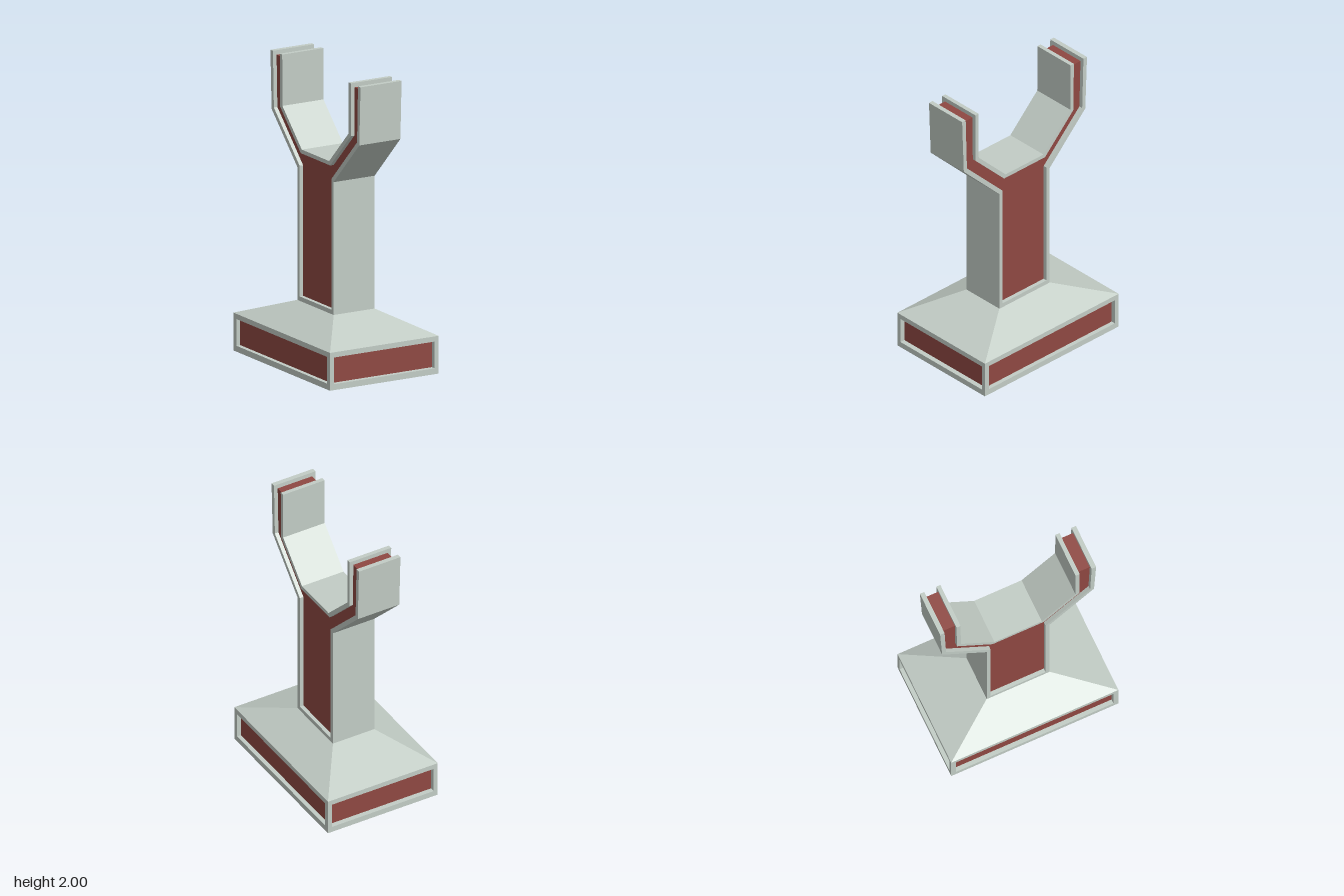
import * as THREE from 'three';

const grey = new THREE.MeshStandardMaterial({ color: 0xc2ccc5, flatShading: true });
const red = new THREE.MeshStandardMaterial({ color: 0x8f4842, flatShading: true });

// Half profiles of the forked post as [z, y], from the bottom or middle up to the tip
const outerEdge = [[0.225, 0.39], [0.225, 1.285], [0.545, 1.605], [0.56, 2]];
const outerLip = [[0.197, 0.42], [0.197, 1.3], [0.517, 1.62], [0.528, 2]];
const innerEdge = [[0.17, 1.415], [0.411, 1.655], [0.413, 2]];
const innerLip = [[0.183, 1.388], [0.439, 1.643], [0.442, 2]];
const coreTop = 1.97;

// Mirrors a half profile into a full line running from the -z tip to the +z tip
const mirrored = (half) => [...half.map(([z, y]) => [-z, y]).reverse(), ...half];
const cut = (half) => half.map(([z, y]) => [z, Math.min(y, coreTop)]);

export function createModel() {
  const model = new THREE.Group();

  function add(parent, name, geometry, material, x = 0, y = 0, z = 0) {
    const mesh = new THREE.Mesh(geometry, material);
    mesh.name = name;
    mesh.position.set(x, y, z);
    parent.add(mesh);
  }

  // Extrudes the area between two profile lines across the width of the post
  function addBand(parent, name, lower, upper, width, material) {
    const points = [...mirrored(lower), ...mirrored(upper).reverse()];
    const shape = new THREE.Shape(points.map(([z, y]) => new THREE.Vector2(z, y)));
    const geometry = new THREE.ExtrudeGeometry(shape, { depth: width, bevelEnabled: false });
    geometry.translate(0, 0, -width / 2).rotateY(-Math.PI / 2);
    add(parent, name, geometry, material);
  }

  // Base: a frame of two plates and four corner posts around a recessed core
  const base = new THREE.Group();
  base.name = 'base';
  model.add(base);
  add(base, 'bottomPlate', new THREE.BoxGeometry(0.83, 0.04, 1.2), grey, 0, 0.02, 0);
  add(base, 'topPlate', new THREE.BoxGeometry(0.83, 0.035, 1.2), grey, 0, 0.2375, 0);
  add(base, 'basePanels', new THREE.BoxGeometry(0.77, 0.18, 1.13), red, 0, 0.13, 0);
  for (const x of [-1, 1]) {
    for (const z of [-1, 1]) {
      add(base, 'cornerPost', new THREE.BoxGeometry(0.03, 0.18, 0.035), grey, x * 0.4, 0.13, z * 0.5825);
    }
  }

  // Sloped cap from the base up to the post
  const cap = new THREE.CylinderGeometry(0.377 * Math.SQRT2, Math.SQRT2, 0.135, 4);
  cap.rotateY(Math.PI / 4).scale(0.415, 1, 0.6);
  add(base, 'slopedCap', cap, grey, 0, 0.3225, 0);

  // Forked post: outer and inner rims with a narrower core between them
  const post = new THREE.Group();
  post.name = 'forkedPost';
  model.add(post);
  addBand(post, 'outerRim', outerEdge, outerLip, 0.314, grey);
  addBand(post, 'innerRim', innerLip, innerEdge, 0.314, grey);
  addBand(post, 'postCore', cut(outerLip), cut(innerLip), 0.26, red);

  return model;
}
